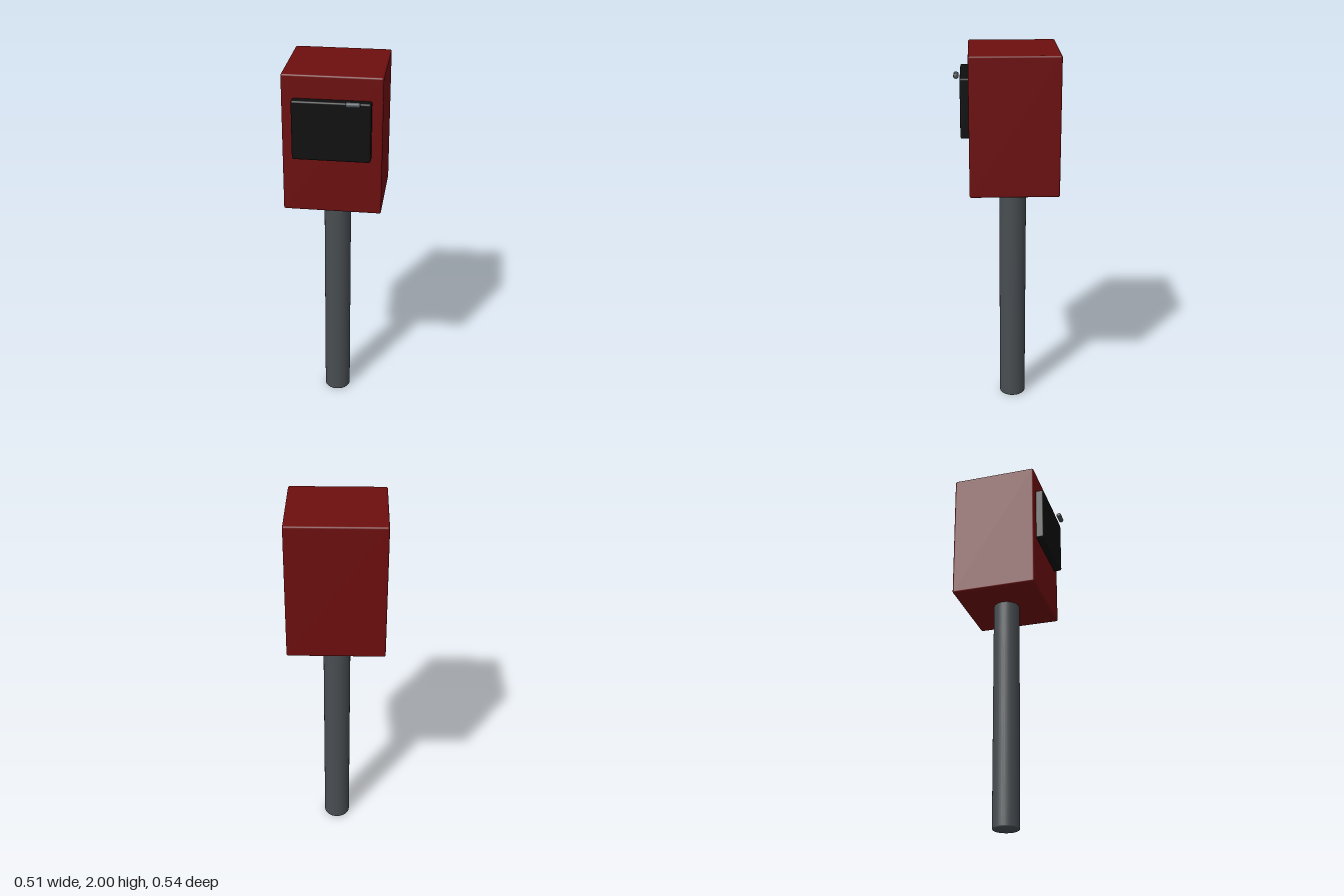
import * as THREE from 'three';
import { RoundedBoxGeometry } from 'three/addons/geometries/RoundedBoxGeometry.js';

const paint = (name, color) => {
  const material = new THREE.MeshStandardMaterial({ color });
  material.name = name;
  return material;
};

// Cylinder along y, centred on the origin, with small rounded rims
function roundedRod(radius, length, bevel, sides) {
  const h = length / 2;
  const points = [new THREE.Vector2(0, -h)];
  for (const end of [-1, 1]) {
    for (let i = 0; i <= 4; i++) {
      const a = (end < 0 ? i - 4 : i) * Math.PI / 8;
      points.push(new THREE.Vector2(
        radius - bevel + bevel * Math.cos(a),
        end * (h - bevel) + bevel * Math.sin(a)
      ));
    }
  }
  points.push(new THREE.Vector2(0, h));
  return new THREE.LatheGeometry(points, sides);
}

export function createModel() {
  const group = new THREE.Group();
  const red = paint('dark red', 0x6d0e0e);
  const black = paint('black', 0x0e0e0e);
  const grey = paint('steel grey', 0x484d51);

  const add = (name, geometry, material, x, y, z) => {
    const mesh = new THREE.Mesh(geometry, material);
    mesh.name = name;
    mesh.position.set(x, y, z);
    group.add(mesh);
    return mesh;
  };

  // Post standing on the ground, centred under the cabinet
  add('post', roundedRod(0.072, 1.275, 0.009, 32), grey, 0, 0.6375, -0.037);

  // Cabinet with softened edges
  add('cabinet', new RoundedBoxGeometry(0.506, 0.73, 0.466, 3, 0.01), red, 0, 1.635, -0.038);

  // Front flap, its back edge sunk slightly into the cabinet
  add('flap', new RoundedBoxGeometry(0.397, 0.31, 0.056, 3, 0.01), black, 0, 1.725, 0.21);

  // Small horizontal handle in front of the flap's top edge
  const handle = add('handle', roundedRod(0.0135, 0.072, 0.009, 20), grey, 0.111, 1.88, 0.2565);
  handle.rotation.z = Math.PI / 2;

  return group;
}
